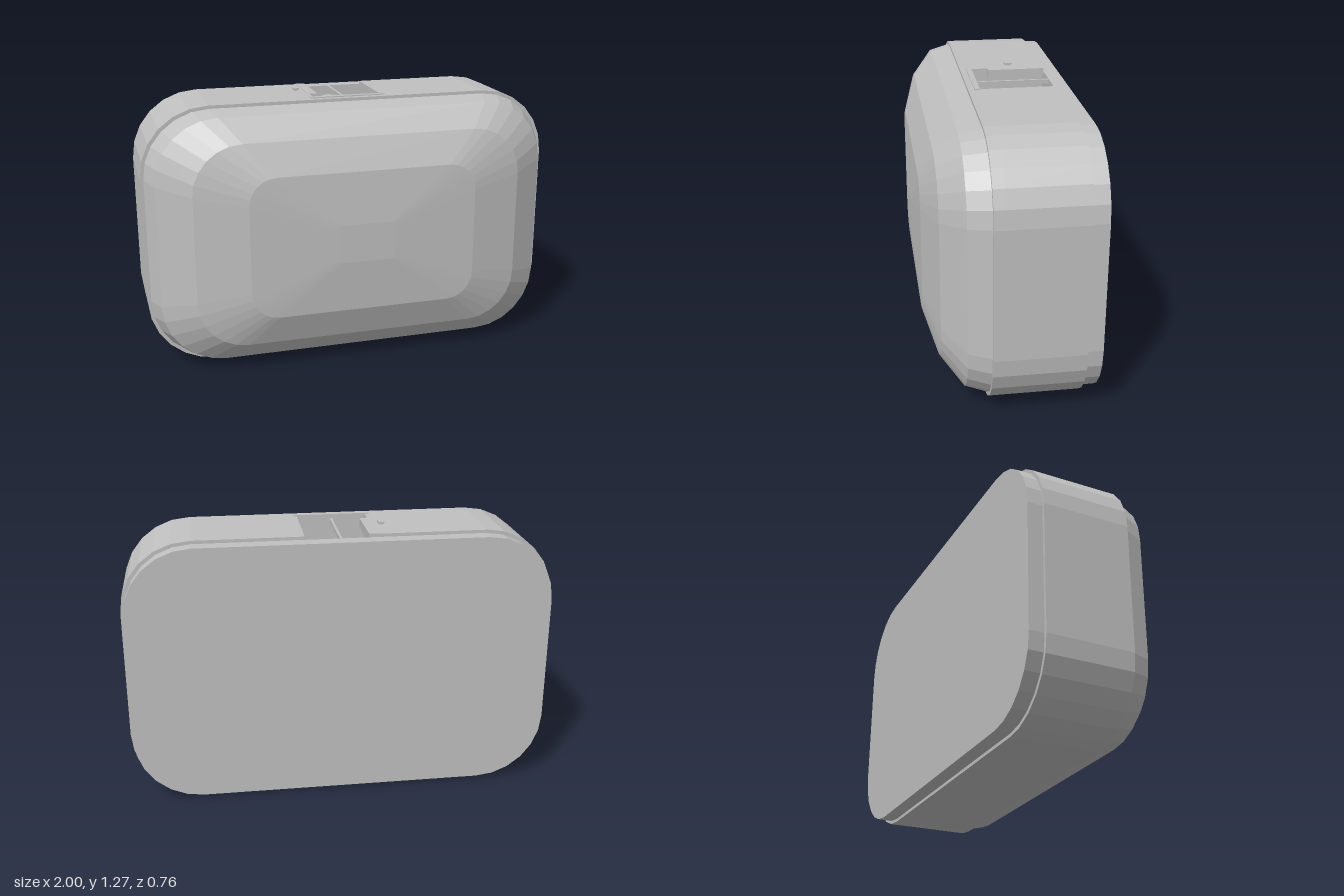
import * as THREE from 'three';

const CY = 0.63;   // height of the case centre
const SEG = 6;     // facets per rounded corner

// Counter-clockwise rounded rectangle, starting on the right side of the top edge
function ring(hw, hh, r) {
  const pts = [];
  const centres = [[1, 1], [-1, 1], [-1, -1], [1, -1]];
  centres.forEach(([sx, sy], q) => {
    for (let i = 0; i <= SEG; i++) {
      const a = (q + i / SEG) * Math.PI / 2;
      pts.push(new THREE.Vector2(sx * (hw - r) + r * Math.cos(a), CY + sy * (hh - r) + r * Math.sin(a)));
    }
  });
  return pts;
}

// Prism of an outline between two depths
function prism(pts, z0, z1) {
  const g = new THREE.ExtrudeGeometry(new THREE.Shape(pts), { depth: z1 - z0, bevelEnabled: false });
  return g.translate(0, 0, z0);
}

// Faceted skin through rings, closed at the last one
function loft(sections) {
  const rows = sections.map(([hw, hh, r, z]) => ring(hw, hh, r).map(p => new THREE.Vector3(p.x, p.y, z)));
  const pos = [];
  const tri = (...v) => v.forEach(p => pos.push(p.x, p.y, p.z));
  const n = rows[0].length;
  for (let k = 0; k < rows.length - 1; k++) {
    for (let i = 0; i < n; i++) {
      const j = (i + 1) % n;
      const a = rows[k][i], b = rows[k][j], c = rows[k + 1][j], d = rows[k + 1][i];
      tri(a, b, c);
      tri(a, c, d);
    }
  }
  const last = rows[rows.length - 1];
  const mid = new THREE.Vector3(0, CY, last[0].z);
  for (let i = 0; i < n; i++) tri(last[i], last[(i + 1) % n], mid);
  const g = new THREE.BufferGeometry();
  g.setAttribute('position', new THREE.Float32BufferAttribute(pos, 3));
  g.computeVertexNormals();
  return g;
}

export function createModel() {
  const model = new THREE.Group();
  model.name = 'roundedCase';
  const grey = new THREE.MeshStandardMaterial({ color: 0xc0c0c0, flatShading: true });
  grey.name = 'plainGrey';

  const add = (name, geometry, parent = model) => {
    const m = new THREE.Mesh(geometry, grey);
    m.name = name;
    parent.add(m);
    return m;
  };
  // Box given by its limits
  const box = (name, x0, x1, y0, y1, z0, z1, parent) =>
    add(name, new THREE.BoxGeometry(x1 - x0, y1 - y0, z1 - z0)
      .translate((x0 + x1) / 2, (y0 + y1) / 2, (z0 + z1) / 2), parent);

  // Main band: full at the front, with an open slot in the top behind it
  const outline = ring(1, 0.63, 0.325);
  const slotted = outline.slice();
  const slot = [[0.165, 1.26], [0.165, 0.93], [-0.165, 0.93], [-0.165, 1.26]];
  slotted.splice(SEG + 1, 0, ...slot.map(([x, y]) => new THREE.Vector2(x, y)));
  add('bandFront', prism(outline, 0.05, 0.1));
  add('bandSlotted', prism(slotted, -0.31, 0.05));

  // Slightly inset back plate
  add('backPlate', prism(ring(0.985, 0.615, 0.315), -0.38, -0.31));

  // Domed front shell
  add('frontDome', loft([
    [0.985, 0.615, 0.315, 0.1],
    [0.945, 0.593, 0.3, 0.2],
    [0.79, 0.49, 0.235, 0.3],
    [0.545, 0.34, 0.13, 0.36],
    [0.14, 0.092, 0.02, 0.38],
  ]));

  // Fittings of the top slot
  const hatch = new THREE.Group();
  hatch.name = 'topHatch';
  model.add(hatch);
  box('hatchSill', -0.185, 0.18, 1.25, 1.265, 0.045, 0.07, hatch);
  box('hatchSideStrip', -0.17, -0.127, 1.22, 1.262, -0.31, -0.035, hatch);
  box('hatchBar', -0.006, 0.006, 1.225, 1.245, -0.31, 0.05, hatch);

  // Stepped round socket on the inner back wall
  const steps = [[0.12, -0.31, -0.23], [0.105, -0.23, -0.205], [0.09, -0.205, -0.18]];
  for (const [r, z0, z1] of steps) {
    add('socketStep', new THREE.CylinderGeometry(r, r, z1 - z0, 20)
      .rotateX(Math.PI / 2).translate(0, 1.08, (z0 + z1) / 2), hatch);
  }

  // Small button beside the slot
  box('buttonStem', -0.217, -0.203, 1.255, 1.268, -0.155, -0.135);
  box('buttonCap', -0.223, -0.197, 1.265, 1.275, -0.165, -0.125);

  // Small plates on a lower corner facet
  const a = -67.5 * Math.PI / 180;
  for (const [z, len] of [[0.015, 0.03], [-0.155, 0.08]]) {
    const plate = add('lowerPlate', new THREE.BoxGeometry(0.004, 0.012, len));
    plate.position.set(0.675 + 0.3225 * Math.cos(a), 0.325 + 0.3225 * Math.sin(a), z);
    plate.rotation.z = a;
  }
  return model;
}
